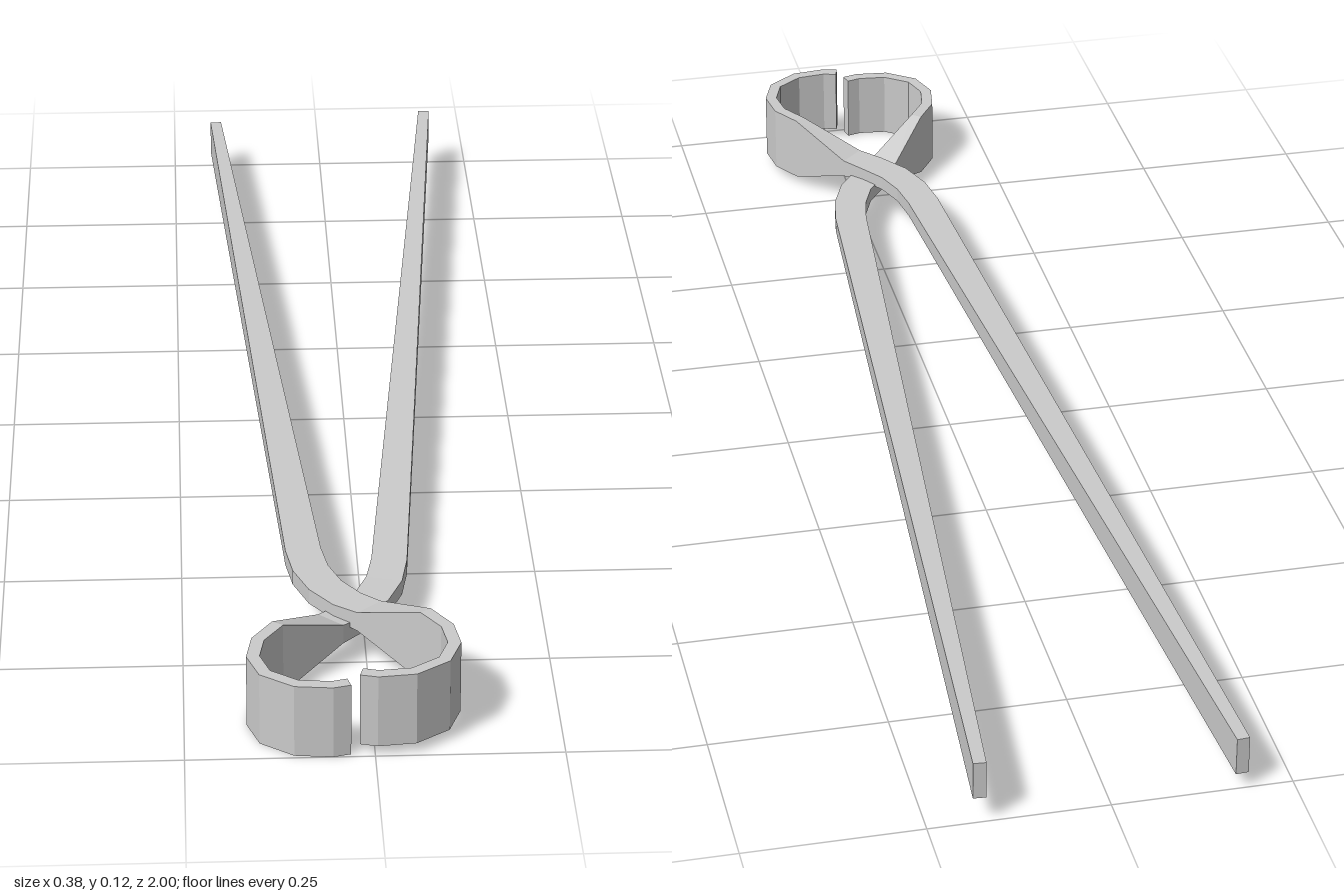
import * as THREE from 'three';

// Cross-sections along one arm: [offset from axis, z, width, bottom y, top y]
const HANDLE = [
  [-0.179, -1, 0.018, 0.024, 0.08],
  [-0.06, 0.57, 0.05, 0.057, 0.08],
];
const CROSSING = [
  [-0.051, 0.625, 0.051, 0.058, 0.08],
  [-0.032, 0.675, 0.051, 0.058, 0.08],
  [-0.003, 0.716, 0.05, 0.058, 0.08],
  [0.026, 0.745, 0.046, 0.055, 0.083],
];
const JAW_BOTTOM = 0.015, JAW_TOP = 0.119;
const JAW = [
  [0.099, 0.824], [0.126, 0.866], [0.133, 0.912], [0.118, 0.956],
  [0.077, 0.986], [0.03, 0.991], [0.008, 0.985],
].map(([u, z]) => [u, z, 0.018, JAW_BOTTOM, JAW_TOP]);

// The tongs lean slightly, so their axis drifts along z
const axisX = z => -0.013 * (z + 1);

// Sweep rectangular sections; side = -1 gives the half-turned partner arm
function armGeometry(side) {
  const path = [...HANDLE, ...CROSSING, ...JAW];
  const pos = [], index = [];
  path.forEach(([u, z, w, y0, y1], i) => {
    const a = path[Math.max(i - 1, 0)], b = path[Math.min(i + 1, path.length - 1)];
    // direction: average of the neighbouring unit segments
    const d = new THREE.Vector2();
    if (i > 0) d.add(new THREE.Vector2(u - a[0], z - a[1]).normalize());
    if (i < path.length - 1) d.add(new THREE.Vector2(b[0] - u, b[1] - z).normalize());
    d.normalize();
    const corners = [[1, y0], [1, y1], [-1, y1], [-1, y0]];
    for (const [s, y] of corners) {
      const cu = u - d.y * s * w / 2, cz = z + d.x * s * w / 2;
      pos.push(side * cu + axisX(cz), side > 0 ? y : JAW_BOTTOM + JAW_TOP - 0.015 - y, cz);
    }
  });
  // side walls
  for (let i = 0; i < path.length - 1; i++) {
    for (let k = 0; k < 4; k++) {
      const a = i * 4 + k, a2 = i * 4 + (k + 1) % 4;
      index.push(a, a + 4, a2 + 4, a, a2 + 4, a2);
    }
  }
  // end caps
  const e = (path.length - 1) * 4;
  index.push(0, 1, 2, 0, 2, 3, e, e + 2, e + 1, e, e + 3, e + 2);

  const geo = new THREE.BufferGeometry();
  geo.setAttribute('position', new THREE.Float32BufferAttribute(pos, 3));
  geo.setIndex(index);
  const flat = geo.toNonIndexed();
  flat.computeVertexNormals();
  return flat;
}

export function createModel() {
  const group = new THREE.Group();
  group.name = 'tongs';
  const material = new THREE.MeshStandardMaterial({ color: 0xcccccc, flatShading: true });
  for (const [name, side] of [['upperArm', 1], ['lowerArm', -1]]) {
    const arm = new THREE.Mesh(armGeometry(side), material);
    arm.name = name;
    group.add(arm);
  }
  return group;
}
